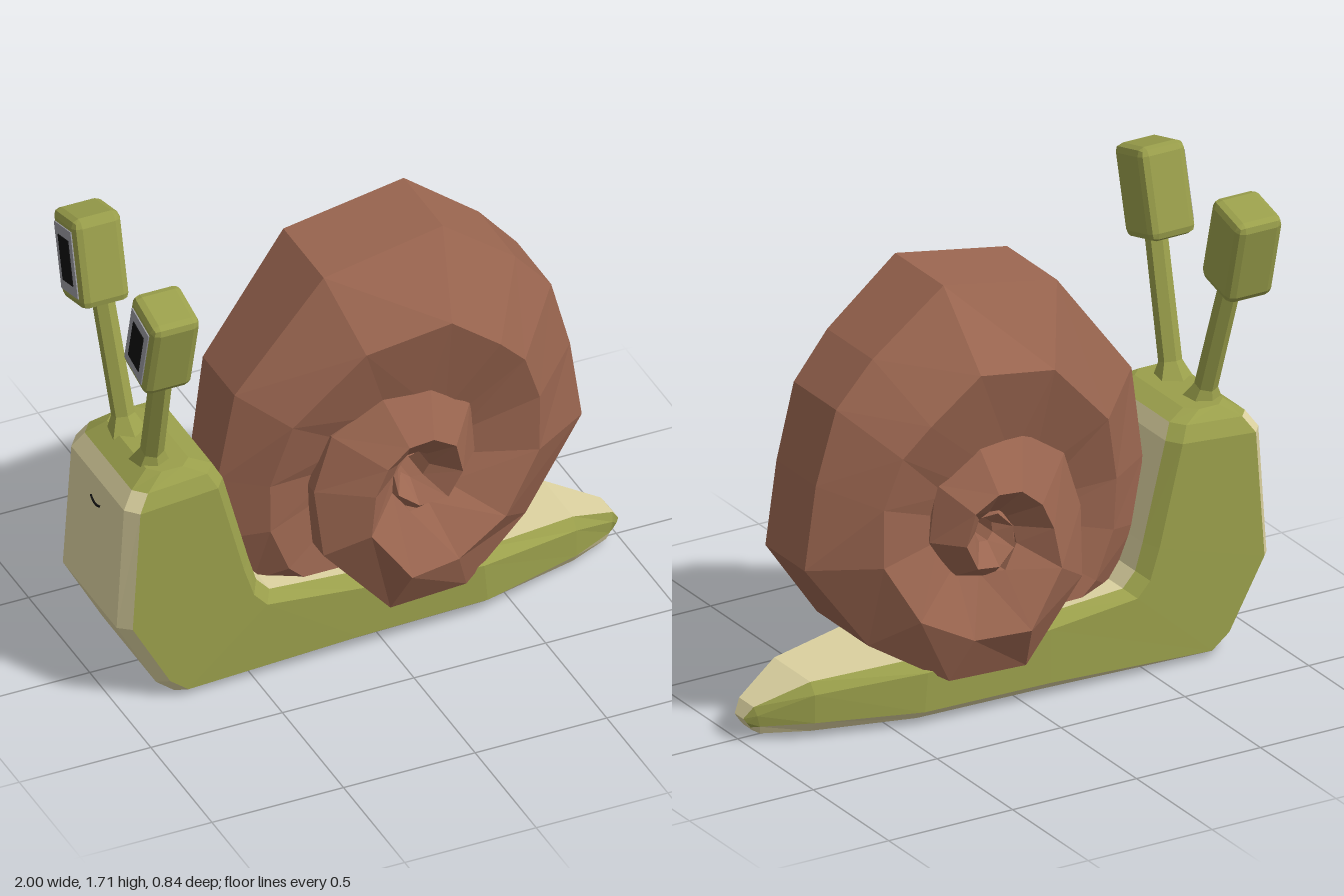
import * as THREE from 'three';
import { RoundedBoxGeometry } from 'three/addons/geometries/RoundedBoxGeometry.js';

const paint = (color) => new THREE.MeshStandardMaterial({ color, flatShading: true, side: THREE.DoubleSide });
const green = paint(0x9a9f4b);
const cream = paint(0xdcd2a0);
const shellBrown = paint(0x9b6650);
const silver = paint(0x9a9aa0);
const black = paint(0x101010);

function addMesh(parent, name, geometry, material) {
  const mesh = new THREE.Mesh(geometry, material);
  mesh.name = name;
  parent.add(mesh);
  return mesh;
}

// Skin over a row of closed loops; columns picks which strips to build.
function loft(loops, columns, capStart, capEnd) {
  const out = [];
  const tri = (a, b, c) => out.push(...a, ...b, ...c);
  const n = loops[0].length;
  for (let i = 0; i + 1 < loops.length; i++) {
    for (const j of columns) {
      const k = (j + 1) % n, p = loops[i], q = loops[i + 1];
      tri(p[j], p[k], q[k]);
      tri(p[j], q[k], q[j]);
    }
  }
  const first = loops[0], last = loops[loops.length - 1];
  for (let j = 1; j + 1 < n; j++) {
    if (capStart) tri(first[0], first[j + 1], first[j]);
    if (capEnd) tri(last[0], last[j], last[j + 1]);
  }
  const geometry = new THREE.BufferGeometry();
  geometry.setAttribute('position', new THREE.Float32BufferAttribute(out, 3));
  geometry.computeVertexNormals();
  return geometry;
}

// Bevelled slice of the body between a belly point and a back point.
function bodySlice([ax, ay, bx, by, w]) {
  const f = Math.min(0.3, 0.04 / Math.hypot(bx - ax, by - ay));
  const e = w - Math.min(0.05, w * 0.2);
  const at = (t, z) => [ax + (bx - ax) * t, ay + (by - ay) * t, z];
  return [at(0, -e), at(0, e), at(f, w), at(1 - f, w), at(1, e), at(1, -e), at(1 - f, -w), at(f, -w)];
}

function createBody() {
  const body = new THREE.Group();
  body.name = 'body';
  // belly x, belly y, back x, back y, half width; from tail tip to head
  const slices = [
    [0.96, 0.04, 0.995, 0.09, 0.035],
    [0.94, 0.03, 0.965, 0.135, 0.06],
    [0.78, 0.03, 0.78, 0.215, 0.15],
    [0.4, 0.02, 0.38, 0.245, 0.25],
    [-0.1, 0.02, -0.1, 0.3, 0.265],
    [-0.78, 0.005, -0.42, 0.325, 0.27],
    [-0.85, 0.06, -0.47, 0.38, 0.27],
    [-1.0, 0.33, -0.5, 0.48, 0.27],
    [-0.97, 0.81, -0.595, 0.84, 0.265],
    [-0.93, 0.87, -0.625, 0.895, 0.24],
  ].map(bodySlice);
  addMesh(body, 'bodySides', loft(slices, [2, 3, 5, 6]), green);
  addMesh(body, 'bellyAndBack', loft(slices, [0, 1, 4, 7], true), cream);
  const crown = [slices[slices.length - 1], bodySlice([-0.86, 0.92, -0.7, 0.92, 0.2])];
  addMesh(body, 'headTop', loft(crown, [0, 1, 2, 3, 4, 5, 6, 7], false, true), green);

  // Small smile on the face
  const curve = new THREE.QuadraticBezierCurve3(
    new THREE.Vector3(-0.976, 0.72, -0.04),
    new THREE.Vector3(-0.978, 0.69, 0),
    new THREE.Vector3(-0.976, 0.72, 0.04));
  addMesh(body, 'mouth', new THREE.TubeGeometry(curve, 8, 0.005, 5), black);
  return body;
}

function createShell() {
  // angle clockwise from the left, rim radius, crest radius, crest half width, rim half width
  const stations = [
    [-60, 0.64, 0.55, 0.19, 0.11], [-35, 0.67, 0.55, 0.19, 0.11],
    [-15, 0.69, 0.54, 0.19, 0.11], [6, 0.69, 0.53, 0.2, 0.11],
    [34, 0.76, 0.56, 0.25, 0.13], [70, 0.9, 0.62, 0.31, 0.165],
    [99, 0.94, 0.65, 0.335, 0.16], [121, 0.83, 0.57, 0.32, 0.15],
    [136, 0.79, 0.55, 0.3, 0.14], [157, 0.7, 0.5, 0.28, 0.13],
    [183, 0.69, 0.46, 0.28, 0.13], [218, 0.58, 0.41, 0.3, 0.17],
    [250, 0.55, 0.375, 0.335, 0.265], [282, 0.53, 0.35, 0.385, 0.285],
    [325, 0.43, 0.26, 0.355, 0.26], [360, 0.37, 0.19, 0.34, 0.22],
    [395, 0.37, 0.175, 0.34, 0.22], [430, 0.36, 0.18, 0.34, 0.24],
    [460, 0.35, 0.18, 0.34, 0.245], [495, 0.31, 0.17, 0.33, 0.23],
    [540, 0.24, 0.15, 0.32, 0.22], [585, 0.21, 0.14, 0.31, 0.22],
    [630, 0.19, 0.12, 0.29, 0.22], [675, 0.16, 0.1, 0.27, 0.2],
    [720, 0.13, 0.08, 0.25, 0.18], [780, 0.1, 0.06, 0.23, 0.15],
    [840, 0.07, 0.04, 0.2, 0.12],
  ];
  const loops = stations.map(([deg, rim, crest, zc, zr]) => {
    const a = THREE.MathUtils.degToRad(deg);
    const at = (r, z) => [0.12 - r * Math.cos(a), 0.68 + r * Math.sin(a), z];
    const inner = crest * 0.42, zi = zc * 0.72;
    return [at(rim, -zr), at(rim, zr), at(crest, zc), at(inner, zi), at(inner, -zi), at(crest, -zc)];
  });
  return loft(loops, [0, 1, 2, 3, 4, 5], true, true);
}

// Stalk with a flared foot, carrying a boxy eye with a framed screen
function createEyestalk(side) {
  const group = new THREE.Group();
  group.name = side > 0 ? 'leftEyestalk' : 'rightEyestalk';
  const base = new THREE.Vector3(-0.815, 0.9, side * 0.1);
  const tip = new THREE.Vector3(-0.84, 1.42, side * 0.255);
  const dir = tip.clone().sub(base);
  const length = dir.length();
  const turn = new THREE.Quaternion().setFromUnitVectors(new THREE.Vector3(0, 1, 0), dir.normalize());

  const stalk = addMesh(group, 'stalk', new THREE.CylinderGeometry(0.04, 0.042, length, 6), green);
  stalk.position.copy(base).lerp(tip, 0.5);
  stalk.quaternion.copy(turn);
  const foot = addMesh(group, 'stalkFoot', new THREE.CylinderGeometry(0.04, 0.08, 0.08, 6), green);
  foot.position.copy(base).addScaledVector(dir, 0.03);
  foot.quaternion.copy(turn);

  const eye = new THREE.Group();
  eye.name = 'eye';
  eye.position.set(-0.86, 1.54, side * 0.288);
  eye.rotation.x = side * 0.25;
  addMesh(eye, 'eyeHousing', new RoundedBoxGeometry(0.185, 0.335, 0.2, 1, 0.03), green);
  addMesh(eye, 'screenFrame', new THREE.BoxGeometry(0.02, 0.25, 0.14), silver).position.x = -0.087;
  addMesh(eye, 'screen', new THREE.BoxGeometry(0.01, 0.17, 0.085), black).position.x = -0.095;
  group.add(eye);
  return group;
}

export function createModel() {
  const model = new THREE.Group();
  model.name = 'snail';
  model.add(createBody());
  addMesh(model, 'shell', createShell(), shellBrown);
  for (const side of [1, -1]) model.add(createEyestalk(side));
  return model;
}
